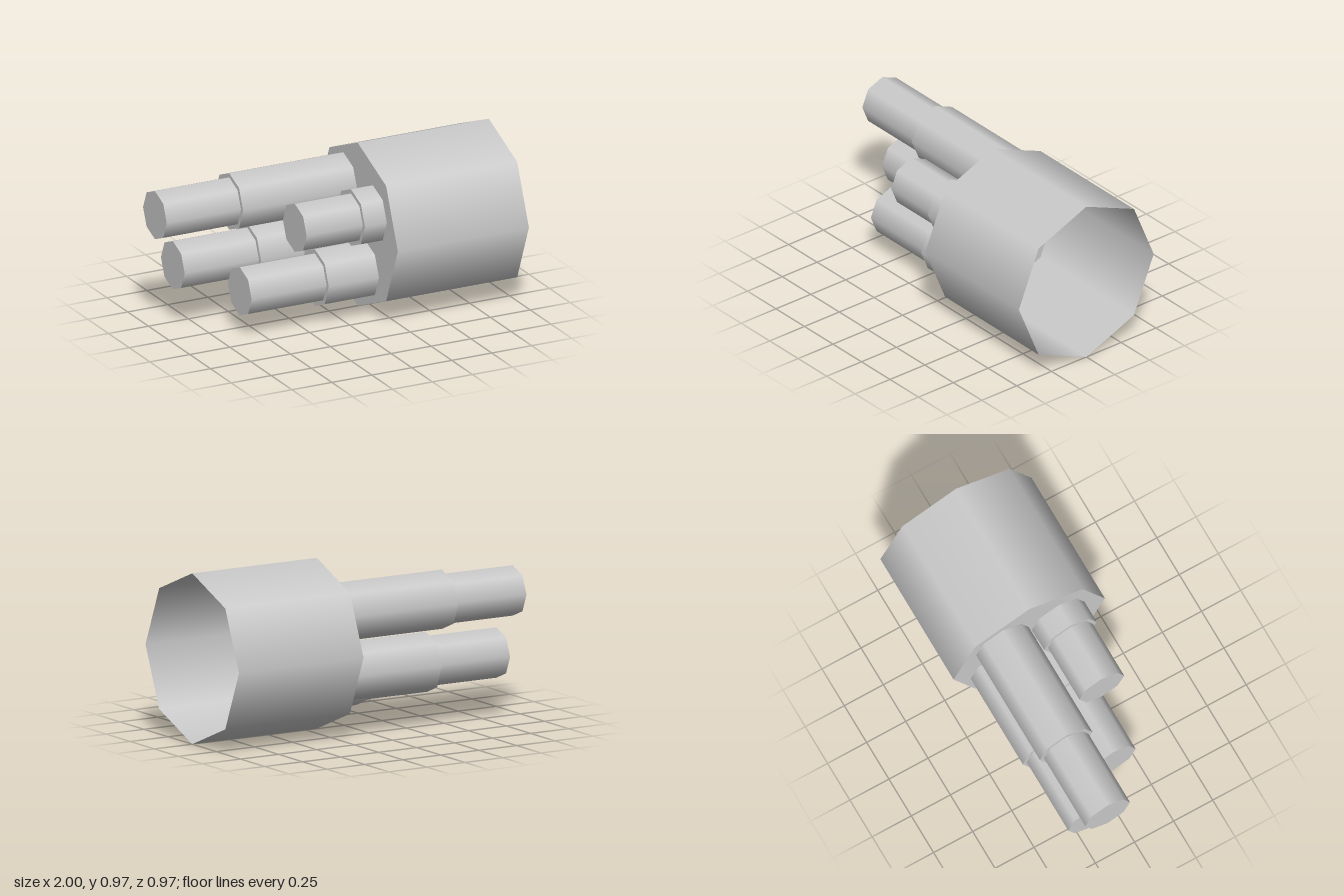
import * as THREE from 'three';

const SIDES = 8;
const CUP_R = 0.484, CUP_BACK = 0.18, CUP_FRONT = 1;
const ROD_R = 0.143, SLEEVE_R = 0.168;

const material = new THREE.MeshStandardMaterial({ color: 0xcccccc });
const thinMaterial = new THREE.MeshStandardMaterial({ color: 0xcccccc, side: THREE.DoubleSide });

// Eight-sided cylinder lying along x, between x0 and x1
function barrel(name, radius, x0, x1, y, z, open = false) {
  const geometry = new THREE.CylinderGeometry(radius, radius, x1 - x0, SIDES, 1, open);
  geometry.rotateZ(Math.PI / 2);
  const mesh = new THREE.Mesh(geometry, open ? thinMaterial : material);
  mesh.name = name;
  mesh.position.set((x0 + x1) / 2, y, z);
  return mesh;
}

export function createModel() {
  const model = new THREE.Group();
  model.name = 'steppedRodsAndCup';

  // Thin-walled cup, open towards +x
  const cup = new THREE.Group();
  cup.name = 'cup';
  cup.add(barrel('cupWall', CUP_R, CUP_BACK, CUP_FRONT, CUP_R, 0, true));
  const floor = new THREE.Mesh(new THREE.CircleGeometry(CUP_R, SIDES), thinMaterial);
  floor.name = 'cupFloor';
  floor.rotation.y = -Math.PI / 2;
  floor.position.set(CUP_BACK, CUP_R, 0);
  cup.add(floor);
  model.add(cup);

  // Four rods of different lengths, each with a thicker sleeve next to the cup
  const rods = [
    { tip: -1.0, shoulder: -0.535, y: 0.686, z: -0.172 },
    { tip: -0.87, shoulder: -0.405, y: 0.354, z: -0.207 },
    { tip: -0.605, shoulder: -0.135, y: 0.253, z: 0.09 },
    { tip: -0.31, shoulder: 0.042, y: 0.61, z: 0.185 },
  ];
  for (const { tip, shoulder, y, z } of rods) {
    const rod = new THREE.Group();
    rod.name = 'steppedRod';
    rod.add(barrel('rodTip', ROD_R, tip, shoulder, y, z));
    rod.add(barrel('rodSleeve', SLEEVE_R, shoulder, CUP_BACK - 0.001, y, z));
    model.add(rod);
  }
  return model;
}
